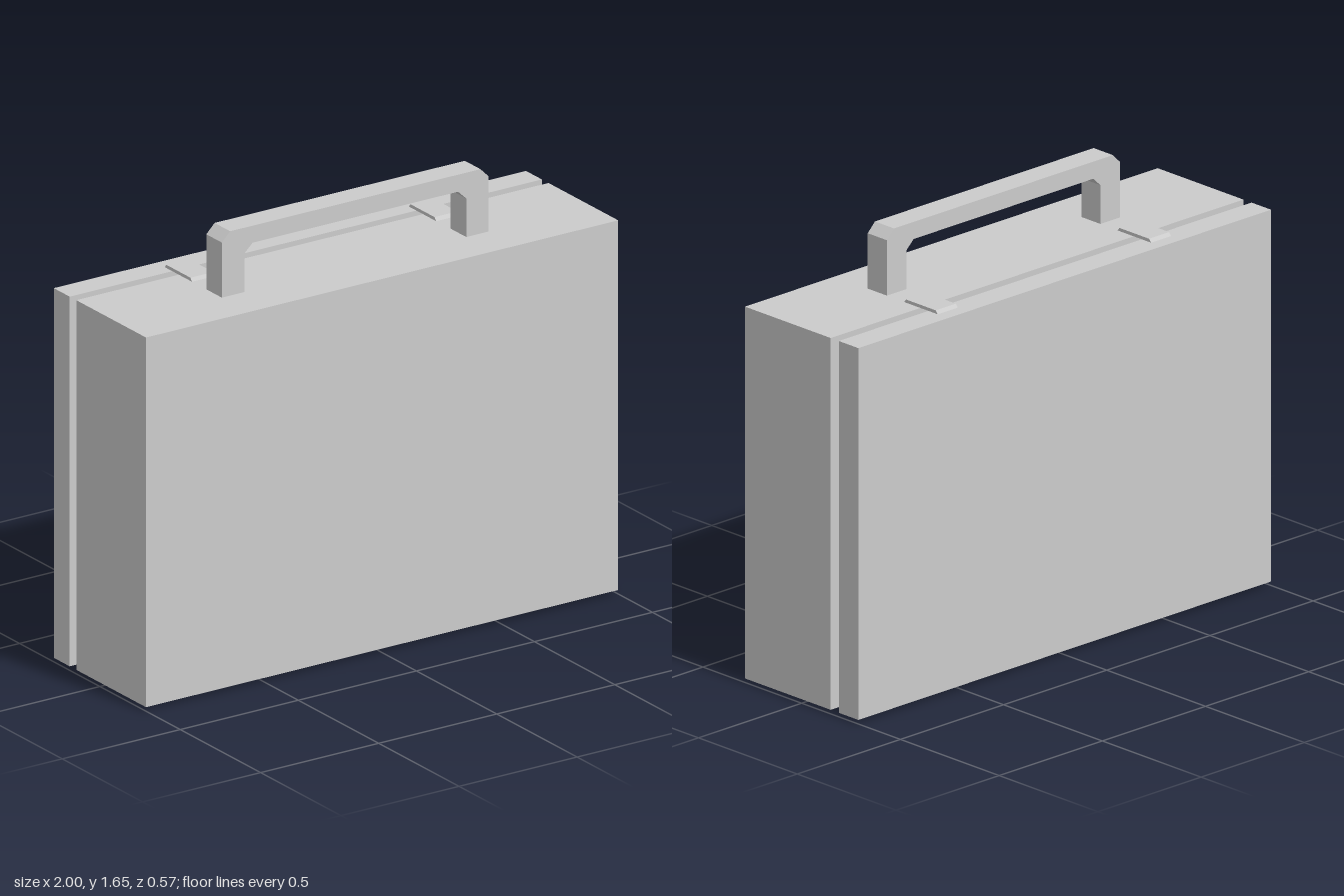
import * as THREE from 'three';

const material = new THREE.MeshStandardMaterial({ color: 0xcccccc, flatShading: true });

const BOTTOM = 0.015, TOP = 1.405;

function add(group, name, geometry) {
  const mesh = new THREE.Mesh(geometry, material);
  mesh.name = name;
  group.add(mesh);
  return mesh;
}

// Box given by its limits on each axis
function box(group, name, [x0, x1], [y0, y1], [z0, z1]) {
  const mesh = add(group, name, new THREE.BoxGeometry(x1 - x0, y1 - y0, z1 - z0));
  mesh.position.set((x0 + x1) / 2, (y0 + y1) / 2, (z0 + z1) / 2);
}

function extrude(points, depth) {
  const shape = new THREE.Shape(points.map(([x, y]) => new THREE.Vector2(x, y)));
  return new THREE.ExtrudeGeometry(shape, { depth, bevelEnabled: false });
}

// Thin plate bridging the seam, with sloped front and back edges
function plate(group, name, x, width, base, height) {
  const slope = 0.01;
  const geometry = extrude([
    [-0.235, base], [-0.065, base], [-0.065 - slope, base + height], [-0.235 + slope, base + height],
  ], width);
  geometry.translate(0, 0, -width / 2).rotateY(-Math.PI / 2);
  add(group, name, geometry).position.x = x;
}

export function createModel() {
  const model = new THREE.Group();
  model.name = 'briefcase';

  // Two shells with a recessed core showing in the seam
  box(model, 'mainShell', [-1, 1], [BOTTOM, TOP], [-0.147, 0.287]);
  box(model, 'lid', [-1, 1], [BOTTOM, TOP], [-0.287, -0.188]);
  box(model, 'innerCore', [-0.945, 0.945], [0.065, 1.36], [-0.19, -0.145]);

  // Latches on top, one long hinge underneath
  plate(model, 'rightLatch', -0.517, 0.097, TOP, 0.012);
  plate(model, 'leftLatch', 0.517, 0.097, TOP, 0.012);
  plate(model, 'hinge', 0, 1.13, BOTTOM, -BOTTOM);

  // Handle: chamfered arch, mirrored from its left half
  const half = [
    [0.47, TOP], [0.565, TOP], [0.565, 1.612], [0.53, 1.647],
  ];
  const inner = [[0.435, 1.583], [0.47, 1.55]];
  const mirror = (points) => points.map(([x, y]) => [-x, y]).reverse();
  const handle = extrude([...half, ...mirror(half), ...mirror(inner), ...inner], 0.097);
  add(model, 'handle', handle).position.z = 0.023;

  return model;
}
